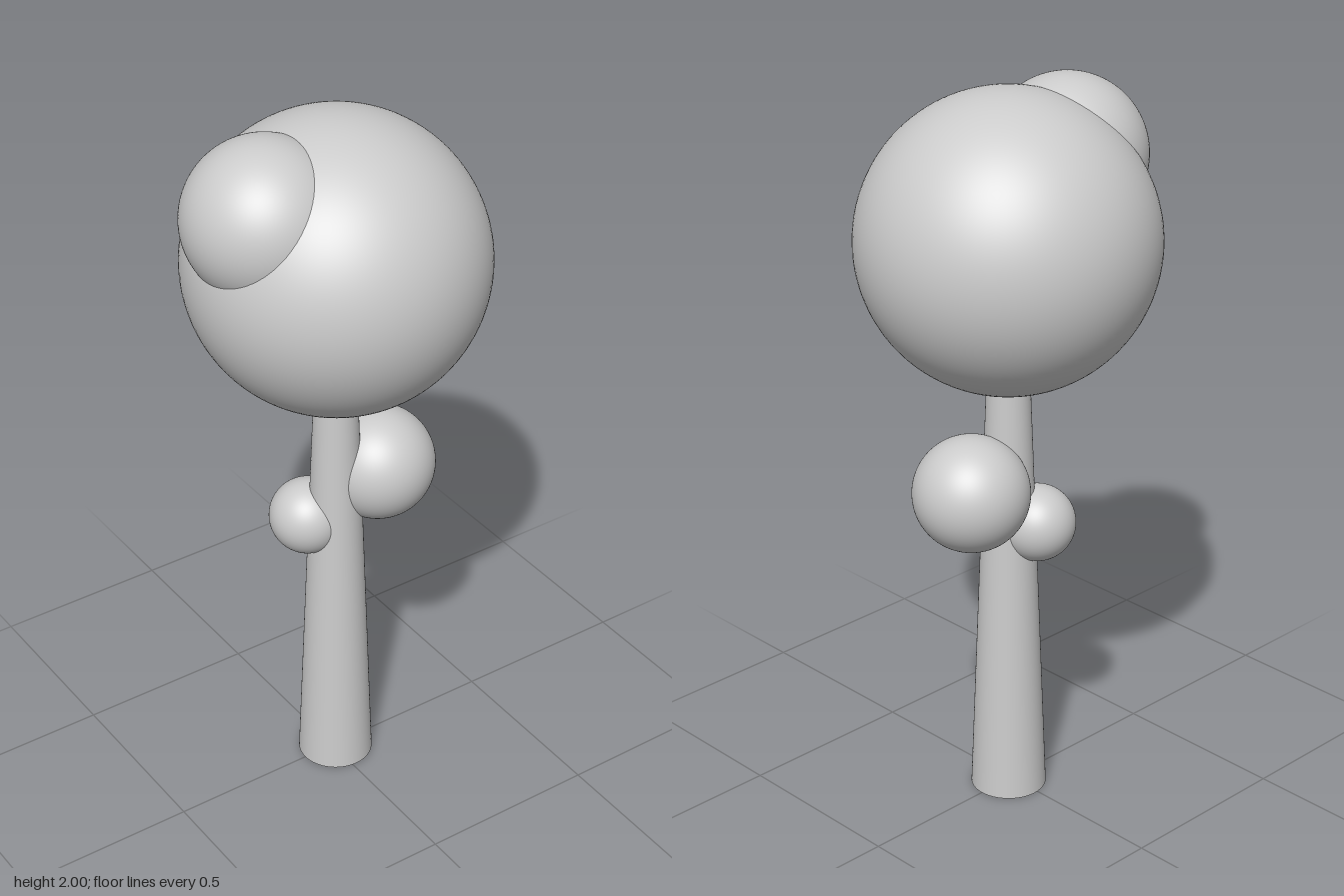
import * as THREE from 'three';

export function createModel() {
  const group = new THREE.Group();
  const material = new THREE.MeshStandardMaterial({ color: 0xcccccc });

  const add = (name, geometry, x, y, z) => {
    const mesh = new THREE.Mesh(geometry, material);
    mesh.name = name;
    mesh.position.set(x, y, z);
    group.add(mesh);
  };
  const ball = (name, radius, x, y, z) =>
    add(name, new THREE.SphereGeometry(radius, 96, 64), x, y, z);

  // Tapered trunk, its top buried in the crown
  const height = 1.4;
  add('trunk', new THREE.CylinderGeometry(0.051, 0.104, height, 64), 0.011, height / 2, 0);

  // Large crown with a smaller bulge on its upper right side
  ball('crown', 0.398, 0.012, 1.602, 0);
  ball('crownBulge', 0.2125, -0.2, 1.788, 0);

  // Foliage clumps on the trunk
  ball('leftClump', 0.157, 0.147, 0.935, 0);
  ball('backClump', 0.105, -0.045, 0.803, -0.052);

  return group;
}
